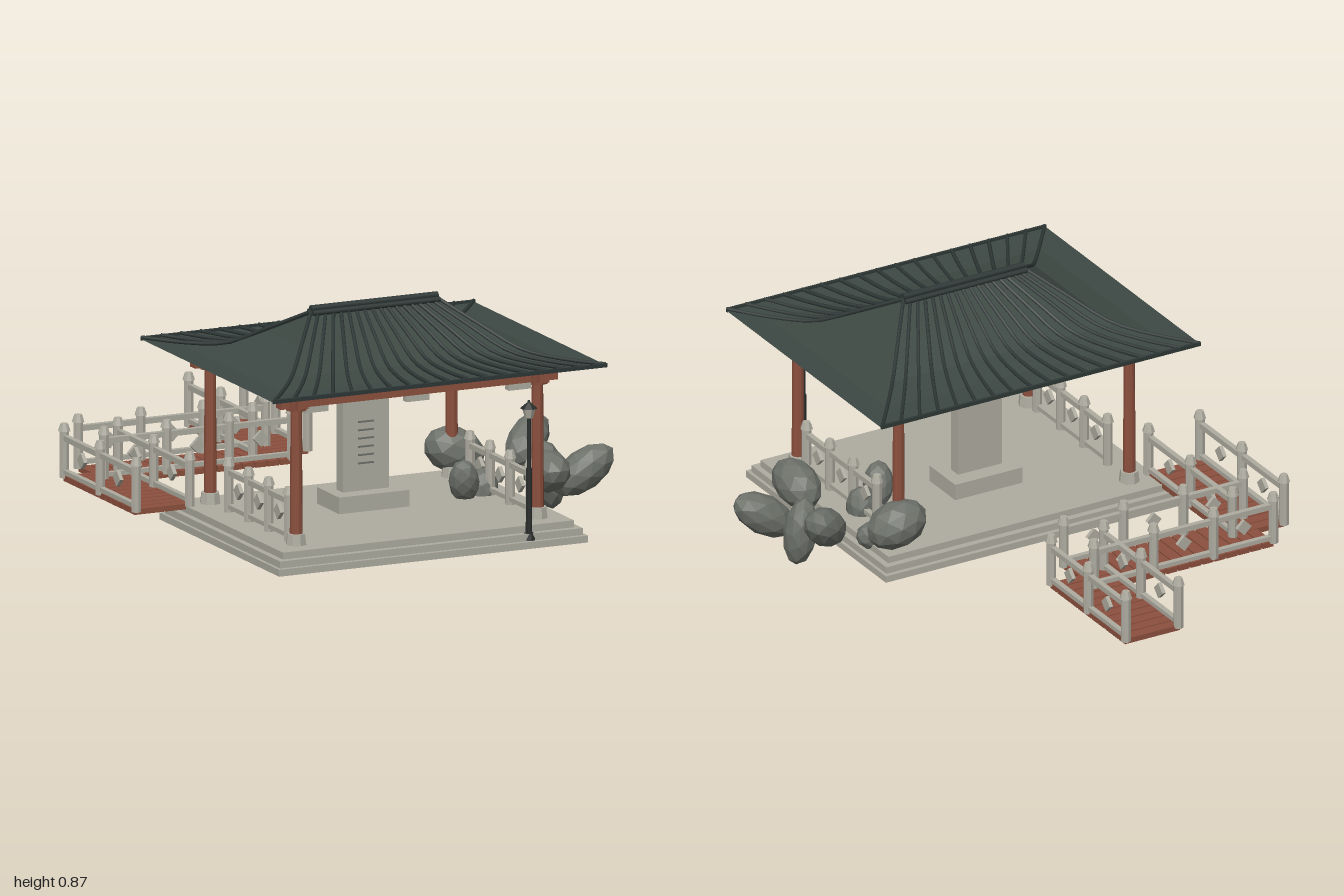
import * as THREE from 'three';

const mat = (name, color, extra = {}) => {
  const m = new THREE.MeshStandardMaterial({ color, ...extra });
  m.name = name;
  return m;
};

export function createModel() {
  const model = new THREE.Group();
  const stone = mat('pale stone', 0xaeaca0, { flatShading: true });
  const wood = mat('red brown wood', 0x8c503e, { flatShading: true });
  const roofGreen = mat('roof green', 0x3d4843, { side: THREE.DoubleSide, flatShading: true });
  const tileDark = mat('dark tile', 0x2e3836);
  const rockGrey = mat('rock grey', 0x6c7069, { flatShading: true });
  const iron = mat('dark iron', 0x292d2c, { flatShading: true });

  const CX = -0.077, CZ = 0.46; // centre of the pavilion
  const add = (parent, name, geo, material, x = 0, y = 0, z = 0) => {
    const m = new THREE.Mesh(geo, material);
    m.name = name;
    m.position.set(x, y, z);
    parent.add(m);
    return m;
  };
  const box = (p, name, m, w, h, d, x, y, z) => add(p, name, new THREE.BoxGeometry(w, h, d), m, x, y, z);
  const cyl = (p, name, m, r1, r2, h, x, y, z, n = 8) => add(p, name, new THREE.CylinderGeometry(r1, r2, h, n), m, x, y, z);
  const group = (name) => {
    const g = new THREE.Group();
    g.name = name;
    model.add(g);
    return g;
  };

  // Stepped platform
  const platform = group('platform');
  [[1.21, 0.975, 0.035], [1.185, 0.94, 0.06], [1.14, 0.89, 0.085]].forEach(([w, d, y], i) =>
    box(platform, 'platformStep' + i, stone, w, 0.025, d, -0.079, y + 0.0125, 0.4625));

  // Columns, footings and beams
  const frame = group('pavilionFrame');
  const colX = [-0.55, 0.395], colZ = [0.11, 0.81];
  for (const x of colX) for (const z of colZ) {
    cyl(frame, 'columnFooting', stone, 0.033, 0.038, 0.04, x, 0.13, z);
    cyl(frame, 'column', wood, 0.02, 0.023, 0.5, x, 0.4, z, 10);
    cyl(frame, 'columnCapital', wood, 0.045, 0.038, 0.045, x, 0.62, z);
  }
  for (const z of colZ) {
    box(frame, 'longBeam', wood, 1.085, 0.045, 0.04, CX, 0.63, z);
    for (const x of [-0.475, -0.08, 0.32]) box(frame, 'beamBlock', stone, 0.09, 0.024, 0.03, x, 0.596, z);
  }
  for (const x of colX) box(frame, 'crossBeam', wood, 0.04, 0.04, 0.815, x, 0.63, CZ);

  // Hipped roof with a sweeping profile: rings run from the ridge (t = 0) to the eave (t = 1)
  const roof = group('roof');
  const heights = [0.845, 0.768, 0.695, 0.677, 0.682];
  const halfX = (t) => 0.25 + 0.404 * t, halfZ = (t) => 0.54 * t;
  const corner = (t, sx, sz, y) => [CX + sx * halfX(t), y, CZ + sz * halfZ(t)];
  const signs = [[-1, 1], [1, 1], [1, -1], [-1, -1]];
  const verts = [];
  for (let r = 0; r < 4; r++) signs.forEach((s, i) => {
    const n = signs[(i + 1) % 4], t = r / 4, u = t + 0.25;
    const a = corner(t, ...s, heights[r]), b = corner(t, ...n, heights[r]);
    const c = corner(u, ...n, heights[r + 1]), d = corner(u, ...s, heights[r + 1]);
    verts.push(...d, ...c, ...b, ...d, ...b, ...a);
  });
  const roofGeo = new THREE.BufferGeometry();
  roofGeo.setAttribute('position', new THREE.Float32BufferAttribute(verts, 3));
  roofGeo.computeVertexNormals();
  add(roof, 'roofSurface', roofGeo, roofGreen);

  // Tile ribs fanning out from the ridge
  const RIBS = 18;
  for (const sz of [-1, 1]) {
    for (let i = 0; i < RIBS; i++) {
      const f = (i / (RIBS - 1)) * 2 - 1;
      const pts = heights.map((y, k) => new THREE.Vector3(
        CX + f * (halfX(k / 4) - 0.004), y + (k === 4 ? 0.006 : 0.011), CZ + sz * halfZ(k / 4)));
      add(roof, 'tileRib', new THREE.TubeGeometry(new THREE.CatmullRomCurve3(pts), 12, 0.007, 6), tileDark);
    }
    box(roof, 'eaveTrim', tileDark, 1.308, 0.014, 0.01, CX, 0.684, CZ + sz * 0.538);
  }
  for (const [dz, y, r] of [[0, 0.866, 0.012], [-0.018, 0.853, 0.01], [0.018, 0.853, 0.01]])
    cyl(roof, 'ridgeTile', tileDark, r, r, 0.497, CX, y, CZ + dz, 10).rotation.z = Math.PI / 2;

  // Stone tablet with carved grooves
  const tablet = group('stoneTablet');
  box(tablet, 'tabletBase', stone, 0.275, 0.06, 0.18, -0.078, 0.14, 0.375);
  box(tablet, 'tabletSlab', stone, 0.18, 0.355, 0.05, -0.08, 0.347, 0.375);
  cyl(tablet, 'tabletCap', stone, 0.042, 0.075, 0.055, -0.08, 0.548, 0.375);
  for (let i = 0; i < 6; i++) box(tablet, 'carvedGroove', rockGrey, 0.06, 0.006, 0.006, -0.08, 0.42 - i * 0.03, 0.402);

  // Railing: posts, two rails and a diamond in each bay
  const railing = (name, x0, z0, x1, z1, bays) => {
    const g = group(name);
    const length = Math.hypot(x1 - x0, z1 - z0), step = length / bays;
    g.position.set(x0, 0, z0);
    g.rotation.y = Math.atan2(-(z1 - z0), x1 - x0);
    for (let i = 0; i <= bays; i++) {
      cyl(g, 'railPost', stone, 0.018, 0.018, 0.17, i * step, 0.195, 0);
      cyl(g, 'postCap', stone, 0.014, 0.023, 0.027, i * step, 0.292, 0);
      if (i === bays) continue;
      const d = box(g, 'railDiamond', stone, 0.042, 0.042, 0.014, (i + 0.5) * step, 0.2, 0);
      d.rotation.z = Math.PI / 4;
    }
    box(g, 'topRail', stone, length, 0.02, 0.02, length / 2, 0.255, 0);
    box(g, 'bottomRail', stone, length, 0.016, 0.02, length / 2, 0.132, 0);
  };
  for (const x of colX) railing('platformRailing', x, 0.75, x, 0.26, 3);

  // Zigzag bridge of three planked legs
  const planks = (name, x0, x1, z0, z1, alongX, count, y) => {
    const g = group(name);
    const w = x1 - x0, d = z1 - z0, step = (alongX ? w : d) / count;
    for (let i = 0; i < count; i++) {
      const s = (i + 0.5) * step;
      if (alongX) box(g, 'plank', wood, step - 0.006, 0.02, d, x0 + s, y, (z0 + z1) / 2);
      else box(g, 'plank', wood, w, 0.02, step - 0.006, (x0 + x1) / 2, y, z0 + s);
    }
  };
  planks('bridgeNearLeg', -0.85, -0.63, -0.465, 0.12, false, 12, 0.108);
  planks('bridgeMiddleLeg', -0.74, -0.005, -0.575, -0.355, true, 15, 0.106);
  planks('bridgeFarLeg', -0.115, 0.11, -0.985, -0.46, false, 11, 0.108);
  for (const x of [-0.845, -0.635]) railing('nearRailing', x, 0.12, x, -0.465, 2);
  for (const z of [-0.36, -0.57]) railing('middleRailing', -0.74, z, -0.005, z, 3);
  for (const x of [-0.11, 0.105]) railing('farRailing', x, -0.46, x, -0.98, 2);

  // Lamp post
  const lamp = group('lampPost');
  const lx = 0.31, lz = 0.917;
  cyl(lamp, 'lampFoot', iron, 0.018, 0.024, 0.025, lx, 0.073, lz);
  cyl(lamp, 'lampLowerPole', iron, 0.011, 0.012, 0.24, lx, 0.2, lz);
  cyl(lamp, 'lampPole', iron, 0.007, 0.008, 0.2, lx, 0.41, lz);
  cyl(lamp, 'lampGlass', stone, 0.024, 0.015, 0.035, lx, 0.52, lz, 6);
  cyl(lamp, 'lampCap', iron, 0.008, 0.032, 0.02, lx, 0.547, lz, 6);
  cyl(lamp, 'lampFinial', iron, 0.004, 0.006, 0.012, lx, 0.56, lz, 6);

  // Boulders: centre, direction of the long axis, half length, half width
  const rocks = group('boulders');
  const up = new THREE.Vector3(0, 1, 0);
  [
    [[0.675, 0.22, 0.145], [1, 0.8, -0.8], 0.13, 0.07],
    [[0.755, 0.165, 0.435], [1, 0.7, 0.2], 0.13, 0.072],
    [[0.675, 0.13, 0.315], [-0.15, 1, 0], 0.127, 0.062],
    [[0.565, 0.2, 0.53], [0, 0.2, 1], 0.12, 0.078],
    [[0.42, 0.195, 0.08], [1, -0.4, 0.2], 0.115, 0.085],
    [[0.29, 0.17, 0.43], [-0.2, 1, 0.3], 0.085, 0.055],
    [[0.38, 0.115, 0.385], [0.2, 1, 0], 0.088, 0.06],
    [[0.45, 0.12, 0.17], [1, 0.2, 0], 0.08, 0.055],
  ].forEach(([p, dir, long, short]) => {
    const m = add(rocks, 'boulder', new THREE.IcosahedronGeometry(1, 1), rockGrey, ...p);
    m.scale.set(short, long, short);
    m.quaternion.setFromUnitVectors(up, new THREE.Vector3(...dir).normalize());
  });

  return model;
}
